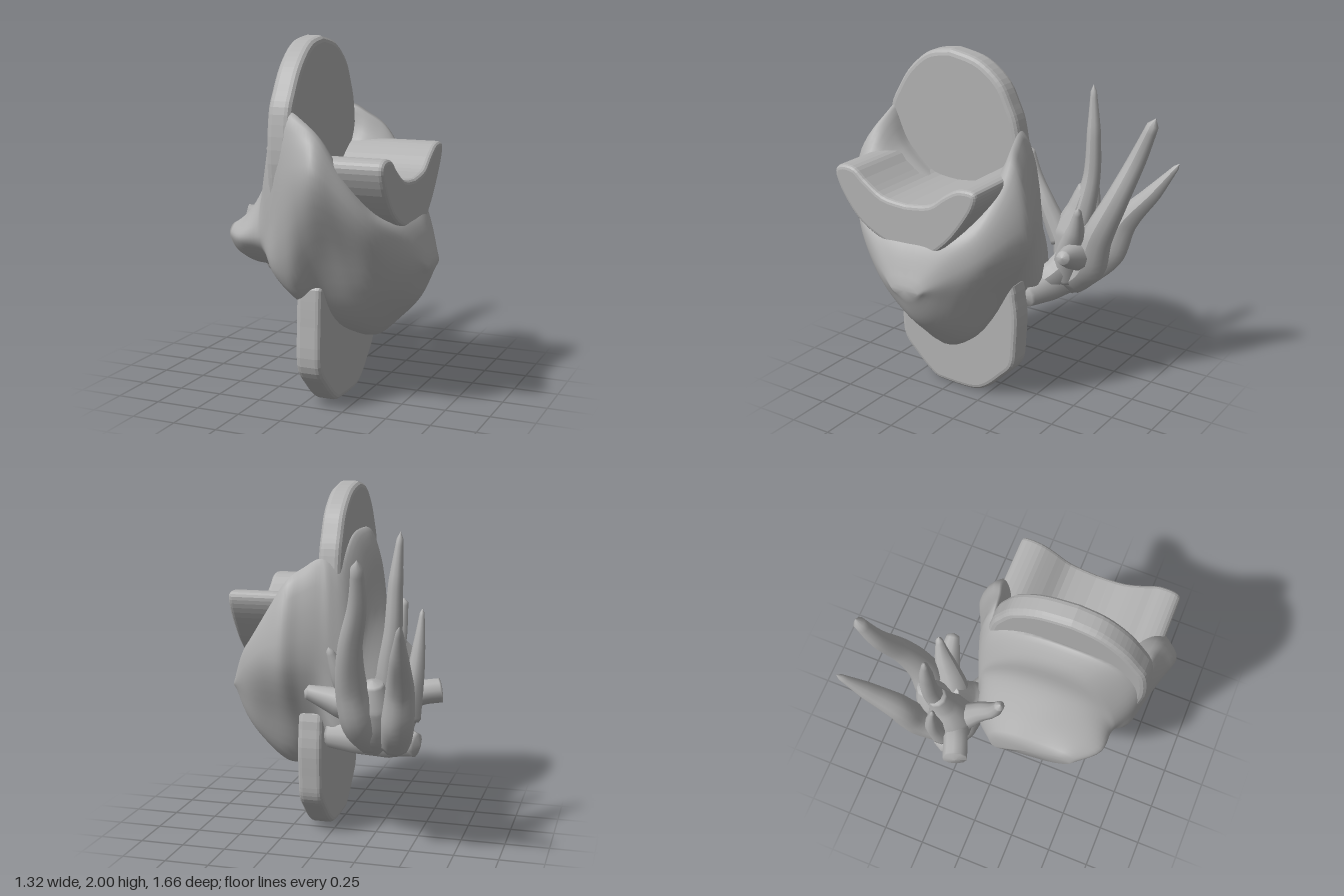
import * as THREE from 'three';

const grey = new THREE.MeshStandardMaterial({ color: 0xb2b2b2 });
grey.name = 'stone grey';

const V = (x, y, z) => new THREE.Vector3(x, y, z);

// Flat plate: outline in (z, y), running from x0 to x1 with rounded edges
function plate(outline, x0, x1, bevel) {
  const pts = outline.map(([z, y]) => new THREE.Vector2(z, y));
  const shape = new THREE.Shape(new THREE.SplineCurve([...pts, pts[0]]).getPoints(64).slice(0, -1));
  const geo = new THREE.ExtrudeGeometry(shape, {
    depth: x1 - x0 - 2 * bevel, bevelEnabled: true, bevelThickness: bevel,
    bevelSize: bevel, bevelOffset: -bevel, bevelSegments: 3,
  });
  geo.rotateY(-Math.PI / 2);
  geo.translate(x1 - bevel, 0, 0);
  return geo;
}

// Smooth skin through cross-sections [x, [z, y, z, y, ...]] ordered along x
function loft(sections, rows, cols) {
  const n = sections[0][1].length / 2;
  const rails = Array.from({ length: n }, (_, k) => new THREE.CatmullRomCurve3(
    sections.map(([x, p]) => V(x, p[2 * k + 1], p[2 * k])), false, 'centripetal'));
  const pos = [], index = [], centres = [];
  for (let i = 0; i <= rows; i++) {
    const ring = new THREE.CatmullRomCurve3(rails.map(r => r.getPoint(i / rows)), true, 'centripetal');
    const mid = V(0, 0, 0);
    for (let j = 0; j < cols; j++) {
      const p = ring.getPoint(j / cols);
      mid.addScaledVector(p, 1 / cols);
      pos.push(p.x, p.y, p.z);
    }
    centres.push(mid);
  }
  for (let i = 0; i < rows; i++) for (let j = 0; j < cols; j++) {
    const a = i * cols + j, b = i * cols + (j + 1) % cols;
    index.push(a, b, b + cols, a, b + cols, a + cols);
  }
  const first = pos.length / 3, last = first + 1;
  for (const c of [centres[0], centres[rows]]) pos.push(c.x, c.y, c.z);
  for (let j = 0; j < cols; j++) {
    const k = (j + 1) % cols;
    index.push(first, k, j, last, rows * cols + j, rows * cols + k);
  }
  const geo = new THREE.BufferGeometry();
  geo.setAttribute('position', new THREE.Float32BufferAttribute(pos, 3));
  geo.setIndex(index);
  geo.computeVertexNormals();
  return geo;
}

// Tapering branch through points [x, y, z, radius], closed at both ends
function branch(points) {
  const curve = new THREE.CatmullRomCurve3(points.map(p => V(p[0], p[1], p[2])));
  const seg = 28, sides = 10;
  const geo = new THREE.TubeGeometry(curve, seg, 1, sides);
  const pos = geo.attributes.position, v = V(0, 0, 0);
  for (let i = 0; i <= seg; i++) {
    const t = i / seg, c = curve.getPointAt(t);
    const f = t * (points.length - 1), k = Math.min(Math.floor(f), points.length - 2);
    let r = THREE.MathUtils.lerp(points[k][3], points[k + 1][3], f - k);
    if (i === 0 || i === seg) r = 0.0005;
    for (let j = 0; j <= sides; j++) {
      const id = i * (sides + 1) + j;
      v.fromBufferAttribute(pos, id).sub(c).multiplyScalar(r).add(c);
      pos.setXYZ(id, v.x, v.y, v.z);
    }
  }
  geo.computeVertexNormals();
  return geo;
}

// Body cross-sections: flank hollowed underneath, shouldered middle, tapering bulge
const flank = [
  [-0.43, [0.25, 0.95, 0.36, 0.97, 0.44, 0.97, 0.48, 0.93, 0.45, 0.87, 0.37, 0.8, 0.25, 0.75, 0.12, 0.71, 0.02, 0.66, -0.01, 0.74, 0.03, 0.86, 0.12, 0.93]],
  [-0.3, [0.25, 1.13, 0.42, 1.09, 0.56, 1.01, 0.62, 0.94, 0.58, 0.87, 0.45, 0.78, 0.25, 0.72, 0.06, 0.65, -0.1, 0.54, -0.14, 0.72, -0.08, 0.95, 0.08, 1.09]],
  [-0.19, [0.27, 1.33, 0.46, 1.28, 0.58, 1.13, 0.63, 0.95, 0.59, 0.87, 0.45, 0.77, 0.25, 0.71, 0.05, 0.64, -0.14, 0.52, -0.17, 0.78, -0.13, 1.08, 0.05, 1.28]],
  [-0.16, [0.28, 1.6, 0.46, 1.54, 0.6, 1.25, 0.64, 0.96, 0.6, 0.87, 0.45, 0.76, 0.25, 0.7, 0.04, 0.63, -0.16, 0.52, -0.19, 0.85, -0.13, 1.25, 0.06, 1.52]],
  [-0.07, [0.3, 1.73, 0.55, 1.69, 0.69, 1.48, 0.71, 1.05, 0.67, 0.77, 0.46, 0.68, 0.25, 0.64, 0.04, 0.6, -0.17, 0.54, -0.22, 0.95, -0.15, 1.5, 0.05, 1.69]],
];
const shoulders = [
  [0.03, [0.25, 1.22, 0.58, 1.42, 0.7, 1.63, 0.76, 1.25, 0.66, 0.7, 0.48, 0.56, 0.2, 0.48, 0.03, 0.49, -0.13, 0.62, -0.25, 1.05, -0.15, 1.6, -0.08, 1.42]],
  [0.13, [0.25, 1.22, 0.58, 1.4, 0.71, 1.58, 0.8, 1.3, 0.66, 0.84, 0.45, 0.53, 0.17, 0.39, 0.02, 0.44, -0.14, 0.66, -0.29, 1.05, -0.17, 1.55, -0.09, 1.4]],
  [0.22, [0.25, 1.22, 0.58, 1.36, 0.72, 1.5, 0.83, 1.32, 0.65, 0.9, 0.44, 0.51, 0.16, 0.35, 0.02, 0.4, -0.15, 0.68, -0.33, 1.05, -0.2, 1.48, -0.1, 1.36]],
  [0.32, [0.25, 1.2, 0.57, 1.28, 0.72, 1.34, 0.77, 1.22, 0.62, 0.88, 0.43, 0.53, 0.16, 0.35, 0.02, 0.42, -0.13, 0.7, -0.29, 1.05, -0.2, 1.33, -0.1, 1.28]],
];
const bulge = [
  [0.46, [0.25, 1.12, 0.52, 1.12, 0.64, 1.11, 0.65, 1.03, 0.57, 0.85, 0.41, 0.62, 0.17, 0.47, 0.05, 0.51, -0.08, 0.72, -0.18, 0.97, -0.14, 1.12, -0.04, 1.14]],
  [0.57, [0.25, 1.03, 0.39, 1.02, 0.47, 0.99, 0.48, 0.92, 0.44, 0.81, 0.35, 0.7, 0.19, 0.59, 0.1, 0.62, 0.02, 0.75, -0.03, 0.88, 0, 0.98, 0.1, 1.03]],
  [0.655, [0.2, 0.83, 0.24, 0.83, 0.27, 0.82, 0.29, 0.8, 0.27, 0.78, 0.24, 0.77, 0.2, 0.76, 0.16, 0.77, 0.13, 0.78, 0.11, 0.8, 0.13, 0.82, 0.16, 0.83]],
];

export function createModel() {
  const model = new THREE.Group();
  const add = (name, geo, parent = model) => {
    const mesh = new THREE.Mesh(geo, grey);
    mesh.name = name;
    parent.add(mesh);
  };

  add('body', loft([...flank, ...shoulders, ...bulge], 55, 60));

  // Upright discs
  add('upperPlate', plate([
    [0.3, 2], [0.45, 1.97], [0.58, 1.87], [0.67, 1.74], [0.73, 1.6], [0.74, 1.3], [0.64, 0.95],
    [0.3, 0.8], [-0.08, 0.95], [-0.17, 1.3], [-0.14, 1.6], [-0.09, 1.74], [-0.02, 1.86], [0.12, 1.96],
  ], -0.075, 0.06, 0.035));
  add('lowerPlate', plate([
    [0.59, 0.68], [0.6, 0.5], [0.6, 0.25], [0.5, 0.12], [0.38, 0.02], [0.3, 0], [0.1, 0], [0, 0.04],
    [-0.1, 0.13], [-0.18, 0.22], [-0.2, 0.35], [-0.2, 0.6], [-0.1, 0.78], [0.45, 0.78],
  ], 0.02, 0.165, 0.03));

  // Curved seat reaching out from the upper disc
  add('saddle', plate([
    [0.25, 1.255], [0.4, 1.27], [0.52, 1.34], [0.6, 1.4], [0.7, 1.4], [0.73, 1.34], [0.66, 1.2],
    [0.53, 1.07], [0.3, 0.98], [0.12, 0.98], [-0.02, 1.08], [-0.14, 1.23], [-0.2, 1.34],
    [-0.19, 1.4], [-0.09, 1.4], [0, 1.35], [0.1, 1.28],
  ], 0.02, 0.565, 0.025));

  // Branching claw behind the flank
  const claw = new THREE.Group();
  claw.name = 'claw';
  model.add(claw);
  add('clawBase', branch([[0, 0.6, -0.14, 0.07], [-0.2, 0.62, -0.2, 0.1], [-0.4, 0.63, -0.24, 0.11], [-0.56, 0.61, -0.27, 0.06]]), claw);
  add('palm', branch([[-0.38, 0.6, -0.24, 0.09], [-0.4, 0.74, -0.26, 0.13], [-0.41, 0.9, -0.26, 0.13], [-0.41, 1.08, -0.3, 0.08], [-0.42, 1.2, -0.33, 0.05]]), claw);
  add('palmWeb', branch([[-0.3, 0.6, -0.25, 0.08], [-0.32, 0.72, -0.36, 0.11], [-0.33, 0.86, -0.4, 0.11], [-0.33, 1, -0.44, 0.05]]), claw);
  const fingers = [
    [[-0.39, 0.75, -0.26, 0.08], [-0.39, 1.0, -0.31, 0.07], [-0.42, 1.25, -0.35, 0.05], [-0.43, 1.5, -0.35, 0.04], [-0.45, 1.78, -0.33, 0.014]],
    [[-0.3, 0.62, -0.28, 0.09], [-0.26, 0.76, -0.43, 0.1], [-0.23, 0.97, -0.5, 0.085], [-0.25, 1.2, -0.6, 0.065], [-0.31, 1.44, -0.69, 0.05], [-0.33, 1.68, -0.78, 0.03]],
    [[-0.42, 0.62, -0.3, 0.09], [-0.47, 0.77, -0.45, 0.09], [-0.5, 0.98, -0.53, 0.075], [-0.53, 1.18, -0.69, 0.05], [-0.56, 1.37, -0.83, 0.012]],
    [[-0.48, 0.75, -0.28, 0.08], [-0.53, 1.0, -0.3, 0.055], [-0.55, 1.2, -0.29, 0.035], [-0.56, 1.37, -0.27, 0.01]],
    [[-0.38, 0.82, -0.2, 0.08], [-0.37, 1.05, -0.08, 0.06], [-0.38, 1.2, 0, 0.045], [-0.39, 1.37, 0.05, 0.025]],
    [[-0.26, 0.66, -0.28, 0.09], [-0.2, 0.86, -0.34, 0.08], [-0.14, 1.02, -0.41, 0.055], [-0.09, 1.17, -0.45, 0.015]],
  ];
  fingers.forEach((f, i) => add('finger' + (i + 1), branch(f), claw));
  const spurs = [
    [[-0.4, 0.8, -0.25, 0.09], [-0.52, 0.88, -0.18, 0.07], [-0.65, 0.9, -0.13, 0.07]],
    [[-0.32, 0.8, -0.38, 0.1], [-0.14, 0.86, -0.4, 0.08], [0.05, 0.92, -0.43, 0.035]],
    [[-0.15, 0.6, -0.12, 0.08], [-0.2, 0.7, -0.24, 0.08], [-0.3, 0.82, -0.34, 0.1]],
  ];
  spurs.forEach((s, i) => add('spur' + (i + 1), branch(s), claw));
  return model;
}
